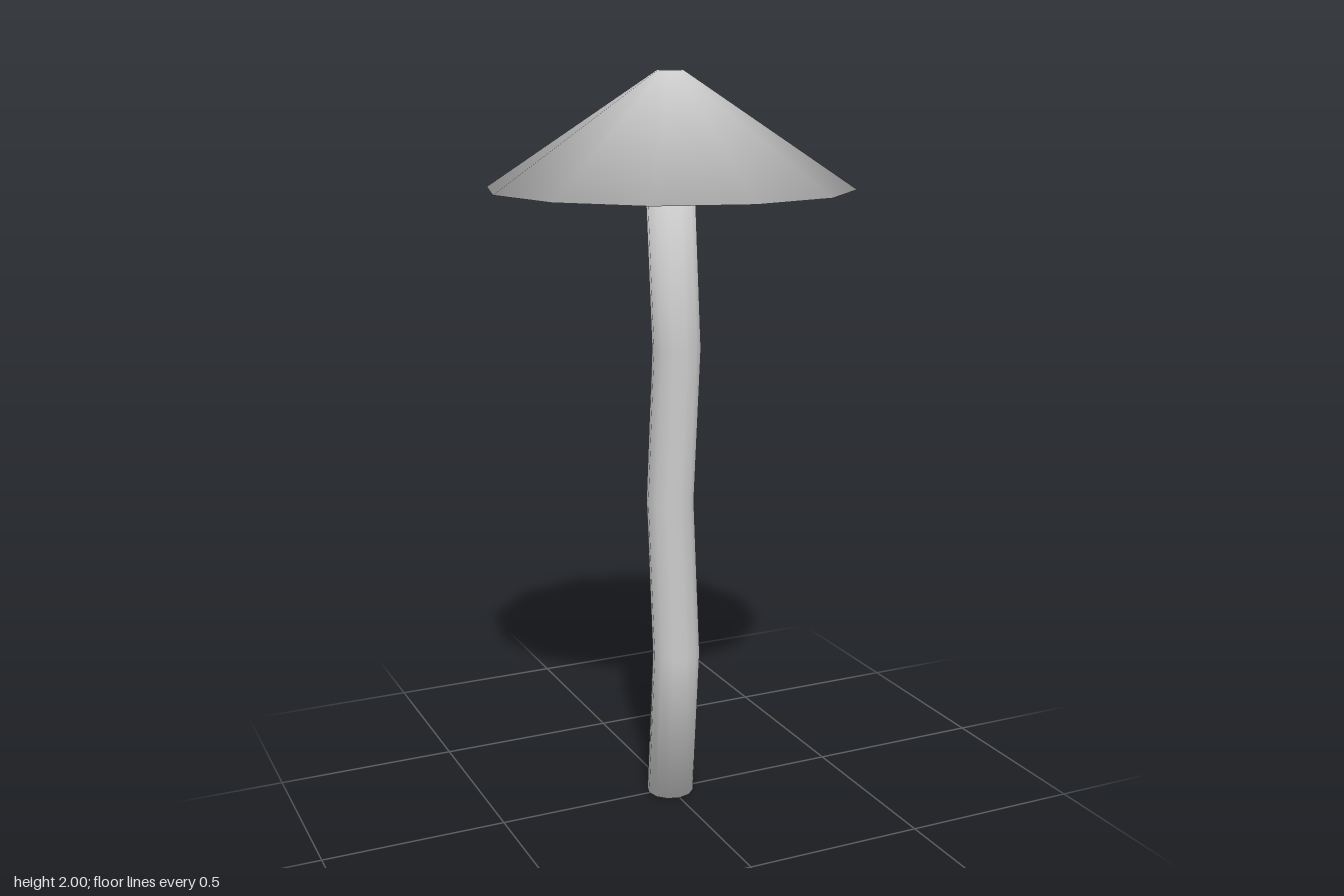
import * as THREE from 'three';

const SIDES = 12;

// Closed 12-sided solid of revolution, softly shaded right across its edges.
// Each ring is [radius, height, normalOut, normalUp].
function softLathe(rings) {
  const points = rings.map(([r, y]) => new THREE.Vector2(r, y));
  const geometry = new THREE.LatheGeometry(points, SIDES);
  const normal = geometry.attributes.normal;
  for (let i = 0; i < normal.count; i++) {
    const angle = Math.floor(i / rings.length) / SIDES * Math.PI * 2;
    const [, , out, up] = rings[i % rings.length];
    normal.setXYZ(i, Math.sin(angle) * out, up, Math.cos(angle) * out);
  }
  return geometry;
}

export function createModel() {
  const group = new THREE.Group();
  const material = new THREE.MeshStandardMaterial({ color: 0xcccccc });

  // Cap: wide cone with a tiny flat tip and a flat underside
  const cap = new THREE.Mesh(softLathe([
    [0, 1.7, 0, -0.23],
    [0.484, 1.7, 0.97, -0.23],
    [0.034, 2, 0.33, 0.94],
    [0, 2, 0, 1],
  ]), material);
  cap.name = 'cap';
  group.add(cap);

  // Stem: straight column whose alternate rings are pushed forward
  const r = 0.065, step = 0.428;
  const stemGeometry = softLathe([
    [0, 0, 0, -0.64],
    [r, 0, 0.77, -0.64],
    [r, step, 1, 0],
    [r, step * 2, 1, 0],
    [r, step * 3, 1, 0],
    [r, step * 4, 0.77, 0.64],
    [0, step * 4, 0, 0.64],
  ]);
  const position = stemGeometry.attributes.position;
  for (let i = 0; i < position.count; i++) {
    const ring = Math.round(position.getY(i) / step);
    if (ring % 2 === 1) position.setZ(i, position.getZ(i) + 0.04);
  }
  const stem = new THREE.Mesh(stemGeometry, material);
  stem.name = 'stem';
  group.add(stem);

  return group;
}
